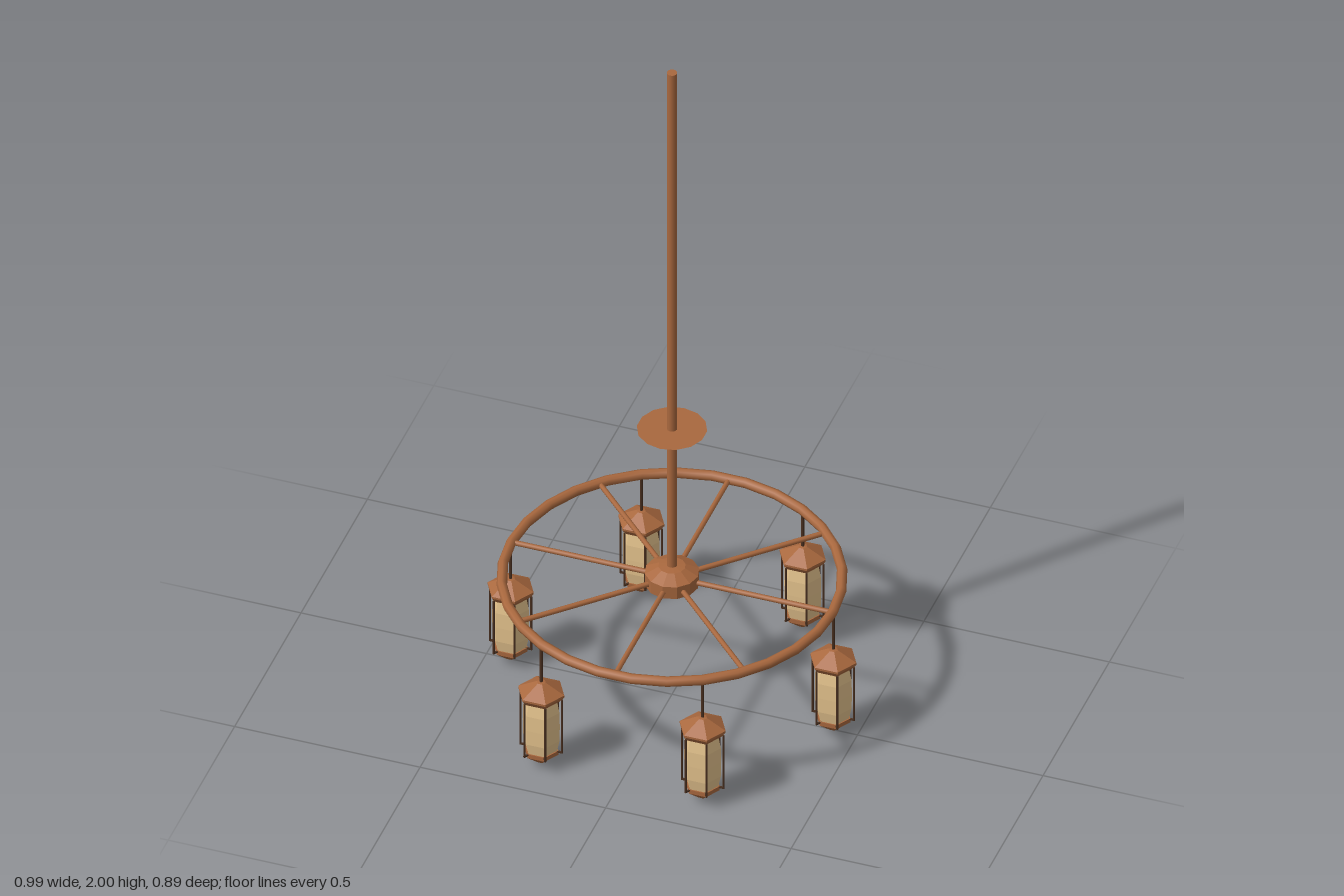
import * as THREE from 'three';

const copper = new THREE.MeshStandardMaterial({ color: 0xa9683e });
const copperFlat = new THREE.MeshStandardMaterial({ color: 0xa9683e, flatShading: true });
const iron = new THREE.MeshStandardMaterial({ color: 0x4a3020 });
const glass = new THREE.MeshStandardMaterial({ color: 0xe6c48e, flatShading: true, side: THREE.DoubleSide });

const RING_R = 0.433, RING_Y = 0.38;

function add(parent, name, geometry, material, x = 0, y = 0, z = 0) {
  const mesh = new THREE.Mesh(geometry, material);
  mesh.name = name;
  mesh.position.set(x, y, z);
  parent.add(mesh);
  return mesh;
}

// Six-sided turned shape with corners on the x axis
function hexLathe(points) {
  return new THREE.LatheGeometry(points.map(([r, y]) => new THREE.Vector2(r, y)), 6, Math.PI / 6);
}

function createLantern() {
  const lantern = new THREE.Group();
  lantern.name = 'lantern';
  add(lantern, 'hangingRod', new THREE.CylinderGeometry(0.004, 0.004, 0.13, 6), iron, 0, 0.32, 0);
  add(lantern, 'lanternRoof', hexLathe([[0, 0.212], [0.05, 0.212], [0.062, 0.228], [0.062, 0.234], [0.012, 0.262], [0, 0.264]]), copperFlat);
  add(lantern, 'lanternGlass', hexLathe([[0.042, 0.05], [0.049, 0.085], [0.05, 0.13], [0.049, 0.175], [0.042, 0.213]]), glass);
  add(lantern, 'lanternBase', hexLathe([[0, 0.004], [0.012, 0.01], [0.046, 0.04], [0.046, 0.052], [0, 0.052]]), copperFlat);
  // Corner posts with short feet reaching in to the base
  for (let i = 0; i < 6; i++) {
    const corner = new THREE.Group();
    corner.name = 'lanternCorner';
    corner.rotation.y = i * Math.PI / 3;
    add(corner, 'lanternPost', new THREE.CylinderGeometry(0.003, 0.003, 0.17, 5), iron, 0.056, 0.133, 0);
    add(corner, 'lanternFoot', new THREE.BoxGeometry(0.018, 0.004, 0.005), iron, 0.049, 0.05, 0);
    lantern.add(corner);
  }
  return lantern;
}

export function createModel() {
  const model = new THREE.Group();
  model.name = 'chandelier';

  // Central stem, collar and hub
  add(model, 'stem', new THREE.CylinderGeometry(0.0135, 0.0135, 1.62, 12), copper, 0, 1.19, 0);
  add(model, 'collar', new THREE.CylinderGeometry(0.09, 0.07, 0.015, 14), copper, 0, 0.85, 0);
  const hub = [[0, 0.342], [0.035, 0.346], [0.07, 0.363], [0.07, 0.4], [0.035, 0.418], [0, 0.422]];
  add(model, 'hub', new THREE.LatheGeometry(hub.map(([r, y]) => new THREE.Vector2(r, y)), 12), copperFlat);

  // Wheel rim and spokes
  const rim = add(model, 'rim', new THREE.TorusGeometry(RING_R, 0.0135, 8, 30), copper, 0, RING_Y, 0);
  rim.rotation.x = Math.PI / 2;
  const spokeGeometry = new THREE.CylinderGeometry(0.007, 0.007, 0.39, 8);
  spokeGeometry.rotateZ(Math.PI / 2).translate(0.235, 0, 0);
  for (let i = 0; i < 8; i++) {
    add(model, 'spoke', spokeGeometry, copper, 0, RING_Y, 0).rotation.y = i * Math.PI / 4;
  }

  // Lanterns hung evenly around the rim, all facing the same way
  const lantern = createLantern();
  for (let i = 0; i < 6; i++) {
    const a = i * Math.PI / 3;
    const copy = lantern.clone();
    copy.position.set(Math.cos(a) * 0.435, 0, Math.sin(a) * 0.435);
    model.add(copy);
  }
  return model;
}
